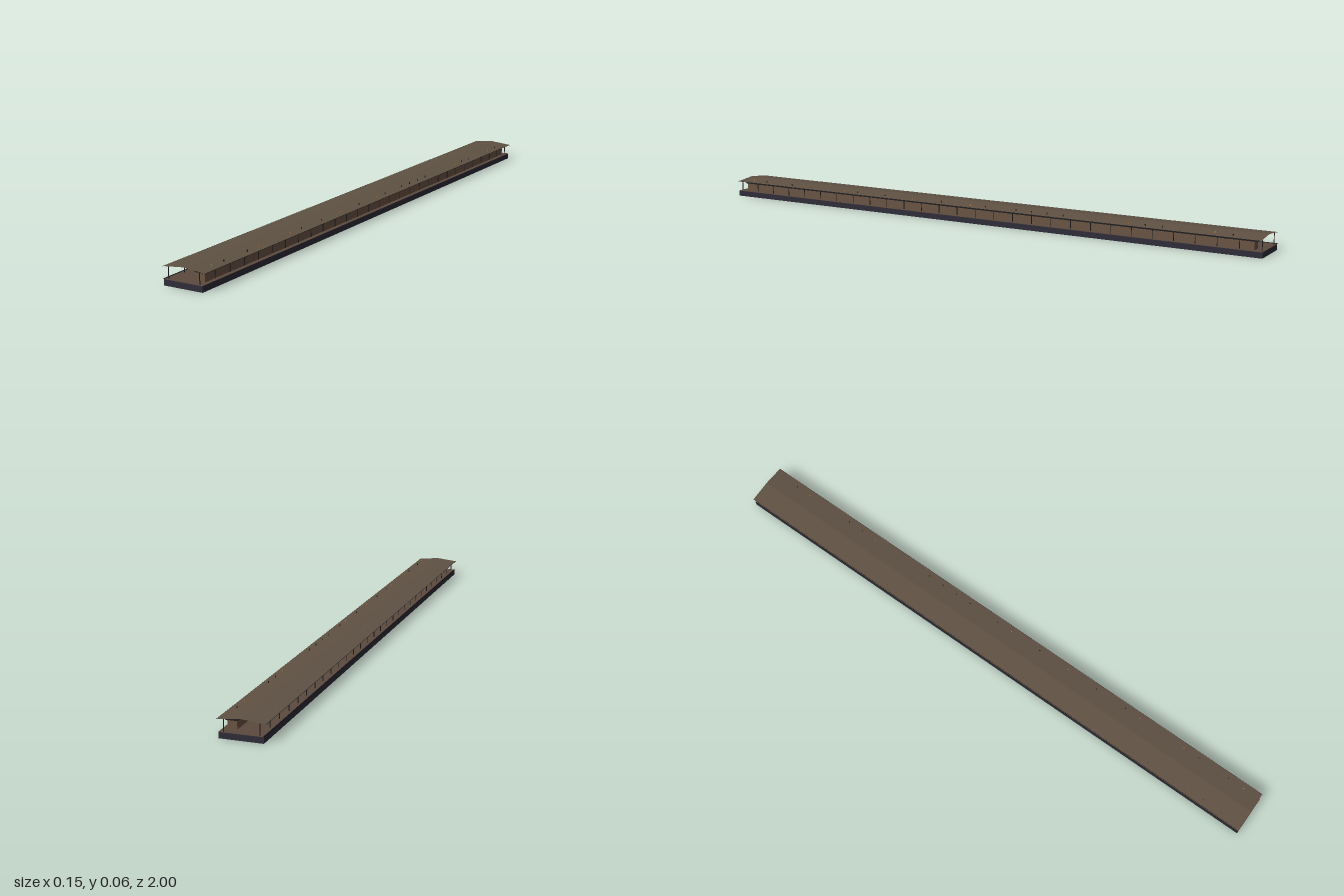
import * as THREE from 'three';

const material = (name, color, side = THREE.FrontSide) => {
  const m = new THREE.MeshStandardMaterial({ color, side });
  m.name = name;
  return m;
};

// Box given by its min and max corners
function box(parent, name, mat, [x0, y0, z0], [x1, y1, z1]) {
  const mesh = new THREE.Mesh(new THREE.BoxGeometry(x1 - x0, y1 - y0, z1 - z0), mat);
  mesh.position.set((x0 + x1) / 2, (y0 + y1) / 2, (z0 + z1) / 2);
  mesh.name = name;
  parent.add(mesh);
  return mesh;
}

export function createModel() {
  const stone = material('dark stone', 0x2f2d38);
  const paving = material('brown paving', 0x5c4a3e);
  const wall = material('brown wall', 0x6a5443);
  const iron = material('black iron', 0x1e1e22);
  const roofing = material('brown roofing', 0x5f5244, THREE.DoubleSide);
  const amber = material('amber', 0xc07a3a);

  const model = new THREE.Group();
  model.name = 'stationPlatform';

  // Platform slab with paved top and a raised edge on the open side
  box(model, 'platformBase', stone, [-0.0675, 0, -1], [0.0665, 0.0185, 1]);
  box(model, 'platformPaving', paving, [-0.0675, 0.0185, -1], [0.0665, 0.0195, 1]);
  box(model, 'platformEdge', iron, [-0.0685, 0.0185, -1], [-0.066, 0.021, 1]);

  // Long low building along one side, with a flat cap
  box(model, 'building', wall, [0.023, 0.0195, -0.97], [0.0525, 0.0465, 0.97]);
  box(model, 'buildingCap', iron, [0.0205, 0.0465, -0.975], [0.0562, 0.0485, 0.975]);

  // Two rows of slender roof posts
  const posts = new THREE.Group();
  posts.name = 'roofPosts';
  model.add(posts);
  const count = 29;
  for (const x of [-0.0545, 0.053]) {
    for (let i = 0; i < count; i++) {
      const z = -0.994 + (1.988 * i) / (count - 1);
      box(posts, 'roofPost', iron, [x - 0.001, 0.0195, z - 0.001], [x + 0.001, 0.0568, z + 0.001]);
    }
  }

  // Shallow gabled roof made of two thin sheets
  const eave = 0.0725, eaveY = 0.055, ridgeY = 0.0622;
  const slope = Math.atan2(ridgeY - eaveY, eave);
  const roof = new THREE.Group();
  roof.name = 'roof';
  model.add(roof);
  for (const s of [-1, 1]) {
    const sheet = new THREE.Mesh(
      new THREE.PlaneGeometry(Math.hypot(eave, ridgeY - eaveY), 1.994).rotateX(-Math.PI / 2), roofing);
    sheet.position.set((s * eave) / 2, (eaveY + ridgeY) / 2, 0);
    sheet.rotation.z = -s * slope;
    sheet.name = 'roofSheet';
    roof.add(sheet);
    box(roof, 'eaveTrim', iron,
      [s * eave - 0.0005, eaveY - 0.001, -0.997], [s * eave + 0.0005, eaveY, 0.997]);
  }

  // Small vents and lamps standing on the roof above the building
  const fittings = new THREE.Group();
  fittings.name = 'roofFittings';
  model.add(fittings);
  const slots = [0, 1, 3, 4, 7, 8, 10, 12, 14, 16, 17, 19, 20, 21, 22, 26, 27, 28, 31, 32];
  const lit = [0, 4, 7, 12, 16, 26, 31];
  for (const slot of slots) {
    const z = 0.938 - slot * 0.0575;
    const lamp = lit.includes(slot);
    box(fittings, lamp ? 'roofLamp' : 'roofVent', lamp ? amber : iron,
      [0.0515, 0.0565, z - 0.0015], [0.0535, 0.0625, z + 0.0015]);
  }
  return model;
}
